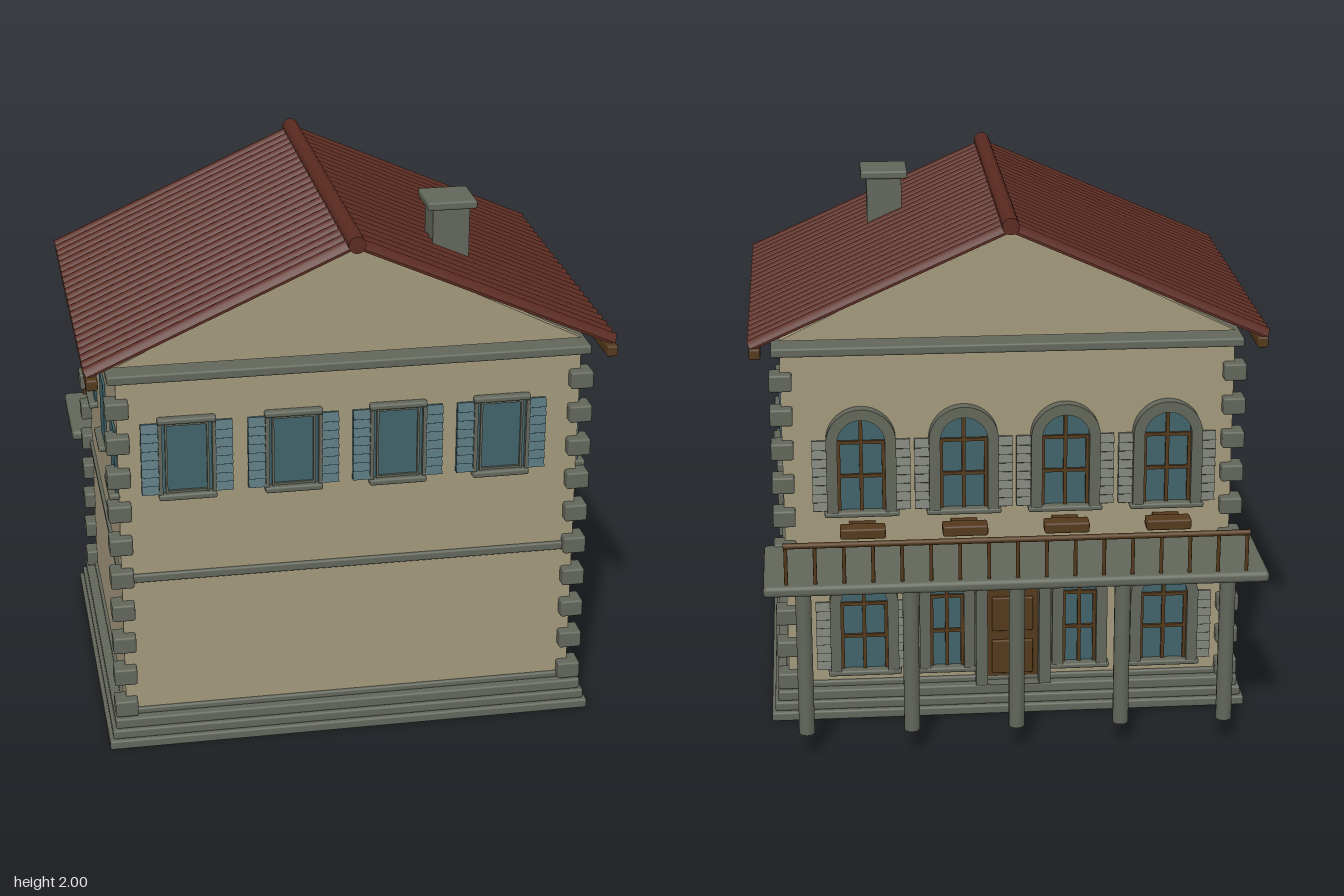
import * as THREE from 'three';
import { toCreasedNormals } from 'three/addons/utils/BufferGeometryUtils.js';
import { RoundedBoxGeometry } from 'three/addons/geometries/RoundedBoxGeometry.js';

const material = (name, color) => {
  const m = new THREE.MeshStandardMaterial({ color });
  m.name = name;
  return m;
};

export function createModel() {
  const wall = material('plaster', 0xa3987c);
  const stone = material('stone', 0x62665a);
  const tile = material('roofTile', 0x5a2a20);
  const glass = material('tealGlass', 0x40636a);
  const wood = material('wood', 0x54391c);
  const house = new THREE.Group();
  house.name = 'house';

  const MID = 0.17, HX = 0.855, HZ = 0.63; // wall centre in z and half sizes
  const add = (parent, name, geo, mat, x = 0, y = 0, z = 0) => {
    const m = new THREE.Mesh(geo, mat);
    m.name = name;
    m.position.set(x, y, z);
    parent.add(m);
    return m;
  };
  const box = (parent, name, mat, w, h, d, x, y, z) =>
    add(parent, name, new THREE.BoxGeometry(w, h, d), mat, x, y, z);
  const soft = (parent, name, mat, w, h, d, x, y, z, r = 0.008) =>
    add(parent, name, new RoundedBoxGeometry(w, h, d, 2, r), mat, x, y, z);
  const place = (name, x, y, z, turn = 0) => {
    const g = new THREE.Group();
    g.name = name;
    g.position.set(x, y, z);
    g.rotation.y = turn;
    house.add(g);
    return g;
  };

  // Walls, stepped plinth, belt course and cornice
  box(house, 'walls', wall, HX * 2, 1.4, HZ * 2, 0, 0.79, MID);
  const band = (name, out, y0, y1) =>
    soft(house, name, stone, (HX + out) * 2, y1 - y0, (HZ + out) * 2, 0, (y0 + y1) / 2, MID);
  band('plinthBottom', 0.07, 0, 0.037);
  band('plinthMiddle', 0.057, 0.037, 0.074);
  band('plinthUpper', 0.045, 0.074, 0.115);
  band('plinthTop', 0.012, 0.112, 0.138);
  band('beltCourse', 0.012, 0.667, 0.7);
  band('cornice', 0.032, 1.468, 1.503);

  // Corner stones
  for (const sx of [-1, 1]) for (const sz of [-1, 1]) for (let i = 0; i < 10; i++)
    soft(house, 'cornerStone', stone, 0.085, 0.066, 0.085, sx * HX, 0.155 + i * 0.135, MID + sz * HZ);

  // Gable plates
  const tri = new THREE.Shape([[-HX, 1.525], [HX, 1.525], [0, 1.945]].map(p => new THREE.Vector2(...p)));
  const gable = new THREE.ExtrudeGeometry(tri, { depth: 0.03, bevelEnabled: false });
  add(house, 'frontGable', gable, wall, 0, 0, MID + HZ - 0.03);
  add(house, 'backGable', gable, wall, 0, 0, MID - HZ);

  // Corrugated tile roof: a wavy section pushed down each slope
  const ROWS = 23, LEN = 1.425, STEP = 8, drop = 0.43, run = 0.962;
  const top = [], bottom = [];
  for (let i = 0; i <= ROWS * STEP; i++) {
    const x = (i / (ROWS * STEP) - 0.5) * LEN;
    const y = 0.026 * Math.abs(Math.sin(Math.PI * i / STEP));
    top.push(new THREE.Vector2(x, y));
    bottom.unshift(new THREE.Vector2(x, y - 0.009));
  }
  const slope = Math.hypot(run, drop), c = run / slope, s = drop / slope;
  for (const side of [-1, 1]) {
    const geo = new THREE.ExtrudeGeometry(new THREE.Shape([...top, ...bottom]), { depth: slope, bevelEnabled: false });
    geo.applyMatrix4(new THREE.Matrix4().makeBasis(
      new THREE.Vector3(0, 0, -side), new THREE.Vector3(side * s, c, 0), new THREE.Vector3(side * c, -s, 0)));
    add(house, side > 0 ? 'leftRoof' : 'rightRoof', toCreasedNormals(geo, 0.6), tile, 0, 1.955, 0.16);
    soft(house, 'eaveBeam', wood, 0.042, 0.042, 1.465, side * 0.944, 1.505, 0.172);
  }
  add(house, 'ridgeTile', new THREE.CylinderGeometry(0.032, 0.032, 1.455, 14), tile, 0, 1.968, 0.172).rotation.x = Math.PI / 2;

  // Chimney
  box(house, 'chimney', stone, 0.138, 0.26, 0.138, 0.43, 1.82, 0.42);
  soft(house, 'chimneyCap', stone, 0.185, 0.032, 0.185, 0.43, 1.958, 0.42);

  // Slatted shutter made of tilted louvres
  const shutter = (parent, mat, x, y, w, h) => {
    const n = 8;
    box(parent, 'shutterBoard', mat, w, h, 0.008, x, y, 0.006);
    for (let i = 0; i < n; i++)
      box(parent, 'shutterSlat', mat, w, h / n, 0.01, x, y - h / 2 + (i + 0.5) * h / n, 0.016).rotation.x = -0.45;
  };

  // Front windows: frame, lintel, sill and teal shutters
  const columns = [-0.605, -0.215, 0.172, 0.56];
  for (const x of columns) {
    const g = place('frontWindow', x, 1.165, MID + HZ);
    box(g, 'pane', glass, 0.2, 0.276, 0.008, 0, 0, 0.006);
    soft(g, 'lintel', stone, 0.213, 0.022, 0.035, 0, 0.149, 0.015);
    soft(g, 'sill', stone, 0.213, 0.024, 0.04, 0, -0.149, 0.017);
    for (const k of [-1, 1]) {
      box(g, 'outerStile', stone, 0.014, 0.276, 0.03, k * 0.098, 0, 0.014);
      box(g, 'innerStile', stone, 0.008, 0.276, 0.022, k * 0.076, 0, 0.011);
      shutter(g, glass, k * 0.136, -0.002, 0.062, 0.276);
    }
    for (const k of [-1, 1]) box(g, 'rail', stone, 0.16, 0.008, 0.018, 0, k * 0.132, 0.01);
  }

  // Side windows
  for (const side of [-1, 1]) for (const z of [0.705, 0.28, -0.142]) {
    const g = place('sideWindow', side * HX, 1.152, z, side * Math.PI / 2);
    box(g, 'pane', glass, 0.158, 0.246, 0.009, 0, 0, 0.006);
    soft(g, 'sill', stone, 0.2, 0.023, 0.04, 0, -0.133, 0.016);
  }

  // Arched openings on the back; local origin at the foot of the opening
  const arch = (r, spring) => {
    const p = new THREE.Shape();
    p.moveTo(-r, 0);
    p.lineTo(r, 0);
    p.lineTo(r, spring);
    p.absarc(0, spring, r, 0, Math.PI, false);
    p.lineTo(-r, 0);
    return p;
  };
  const archFrame = (g, inner, outer, spring, depth) => {
    const ring = arch(outer, spring);
    ring.holes.push(arch(inner, spring));
    const geo = new THREE.ExtrudeGeometry(ring, { depth, bevelEnabled: false, curveSegments: 14 });
    add(g, 'archSurround', toCreasedNormals(geo, 0.6), stone);
  };
  const archPanel = (g, name, mat, r, spring) =>
    add(g, name, new THREE.ExtrudeGeometry(arch(r, spring), { depth: 0.008, bevelEnabled: false, curveSegments: 14 }), mat, 0, 0, 0.002);
  const archWindow = (x, y, r, spring, shutters) => {
    const g = place('archWindow', x, y, MID - HZ, Math.PI), h = spring + r, rim = r + 0.042;
    archPanel(g, 'pane', glass, r, spring);
    archFrame(g, r, rim, spring, 0.045);
    box(g, 'mullion', wood, 0.014, h, 0.014, 0, h / 2, 0.014);
    for (const t of [0.5, 0.98]) box(g, 'glazingBar', wood, r * 2, 0.013, 0.014, 0, spring * t, 0.014);
    for (const k of [-1, 1]) {
      box(g, 'sash', wood, 0.012, spring, 0.014, k * (r - 0.006), spring / 2, 0.013);
      if (shutters) shutter(g, stone, k * (rim + 0.027), spring / 2, 0.054, spring);
    }
    soft(g, 'sill', stone, rim * 2 + 0.02, 0.022, 0.05, 0, -0.008, 0.022);
  };
  for (const x of columns) {
    archWindow(x, 0.85, 0.09, 0.28, true);
    soft(house, 'flowerBox', wood, 0.172, 0.042, 0.068, x, 0.79, -0.542);
    box(house, 'flowerBoxBracket', wood, 0.1, 0.02, 0.06, x, 0.79, -0.485);
  }
  for (const x of [columns[0], columns[3]]) archWindow(x, 0.19, 0.09, 0.28, true);
  for (const x of [-0.275, 0.24]) archWindow(x, 0.19, 0.065, 0.3, false);

  // Arched door with panels and a knob
  const door = place('door', -0.015, 0.12, MID - HZ, Math.PI);
  archPanel(door, 'doorLeaf', wood, 0.1, 0.38);
  archFrame(door, 0.1, 0.145, 0.38, 0.062);
  for (const k of [-1, 1]) for (const y of [0.1, 0.28])
    soft(door, 'doorPanel', wood, 0.07, 0.14, 0.02, k * 0.045, y, 0.012, 0.005);
  add(door, 'doorKnob', new THREE.SphereGeometry(0.009, 10, 8), stone, 0.015, 0.19, 0.026);

  // Balcony slab on five columns
  soft(house, 'balconySlab', stone, 1.87, 0.042, 0.425, 0, 0.7, -0.688, 0.016);
  for (let i = -2; i <= 2; i++)
    add(house, 'balconyColumn', new THREE.CylinderGeometry(0.03, 0.03, 0.585, 14), stone, i * 0.395, 0.392, -0.83);

  // Balcony railing
  add(house, 'handrail', new THREE.CylinderGeometry(0.011, 0.011, 1.72, 10), wood, 0, 0.872, -0.872).rotation.z = Math.PI / 2;
  for (let i = 0; i <= 16; i++)
    add(house, 'baluster', new THREE.CylinderGeometry(0.007, 0.007, 0.16, 8), wood, -0.85 + i * 1.7 / 16, 0.795, -0.872);

  return house;
}
